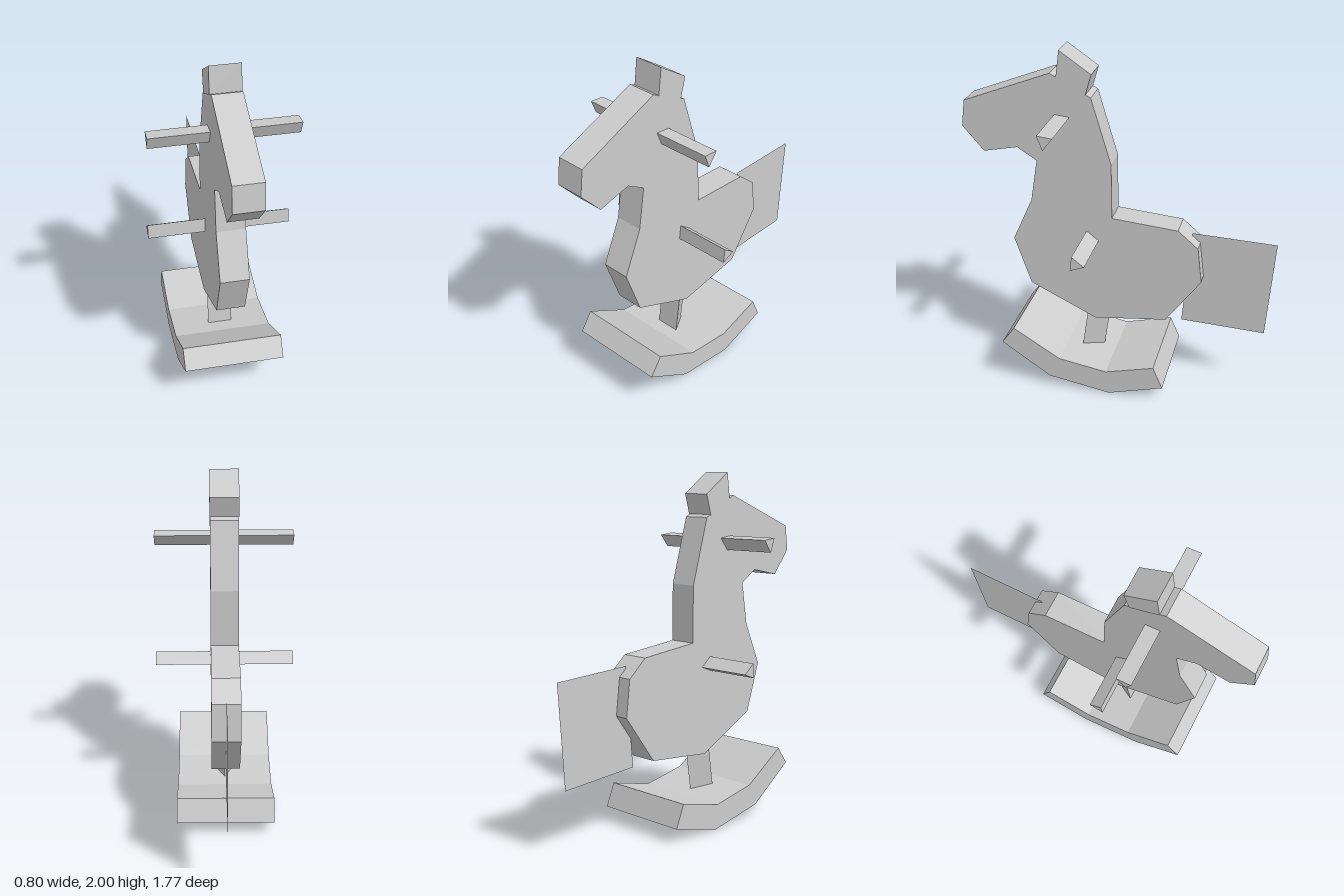
import * as THREE from 'three';

export function createModel() {
  const model = new THREE.Group();
  model.name = 'rockingHorse';
  const wood = new THREE.MeshStandardMaterial({ color: 0xcccccc, flatShading: true, side: THREE.DoubleSide });
  wood.name = 'plain grey wood';

  const add = (name, geometry) => {
    const mesh = new THREE.Mesh(geometry, wood);
    mesh.name = name;
    model.add(mesh);
    return mesh;
  };
  const outline = (points) => new THREE.Shape(points.map(([z, y]) => new THREE.Vector2(z, y)));

  // Side profile given as [z, y], extruded across x and centred on x = 0
  const slab = (name, width, points) => {
    const geometry = new THREE.ExtrudeGeometry(outline(points), { depth: width, bevelEnabled: false });
    geometry.translate(0, 0, -width / 2);
    geometry.rotateY(-Math.PI / 2);
    return add(name, geometry);
  };

  // Head, neck and torso cut from one board
  slab('body', 0.16, [
    [0.375, 1.87], [0.15, 1.75], [0.04, 1.375], [0.037, 1.05], [-0.34, 1.015], [-0.455, 0.915],
    [-0.48, 0.705], [-0.28, 0.43], [0.14, 0.385], [0.525, 0.575], [0.62, 0.86], [0.505, 1.115],
    [0.465, 1.36], [0.575, 1.43], [0.77, 1.39], [0.89, 1.53], [0.87, 1.68],
  ]);

  // Ear block
  slab('ear', 0.166, [[0.32, 2], [0.145, 1.88], [0.18, 1.76], [0.34, 1.85]]);

  // Wide curved rocker
  slab('rocker', 0.56, [
    [0.58, 0.37], [0.31, 0.2], [0.03, 0.15], [-0.25, 0.22],
    [-0.305, 0.09], [0.01, 0.005], [0.37, 0.07], [0.655, 0.265],
  ]);

  // Three-sided bars through head and torso
  slab('handleBar', 0.8, [[0.355, 1.64], [0.27, 1.63], [0.325, 1.56]]);
  slab('footBar', 0.8, [[0.185, 0.955], [0.115, 0.9], [0.195, 0.87]]);

  // Leaning three-sided post, flat side to the front
  const post = add('post', new THREE.CylinderGeometry(0.08, 0.08, 0.36, 3, 1, false, Math.PI));
  post.position.set(0, 0.28, 0.167);
  post.rotation.x = -0.146;

  // Flat sheet tail
  const tail = new THREE.ShapeGeometry(outline([[-0.41, 0.97], [-0.885, 0.95], [-0.845, 0.37], [-0.36, 0.395]]));
  tail.rotateY(-Math.PI / 2);
  add('tail', tail);

  return model;
}
